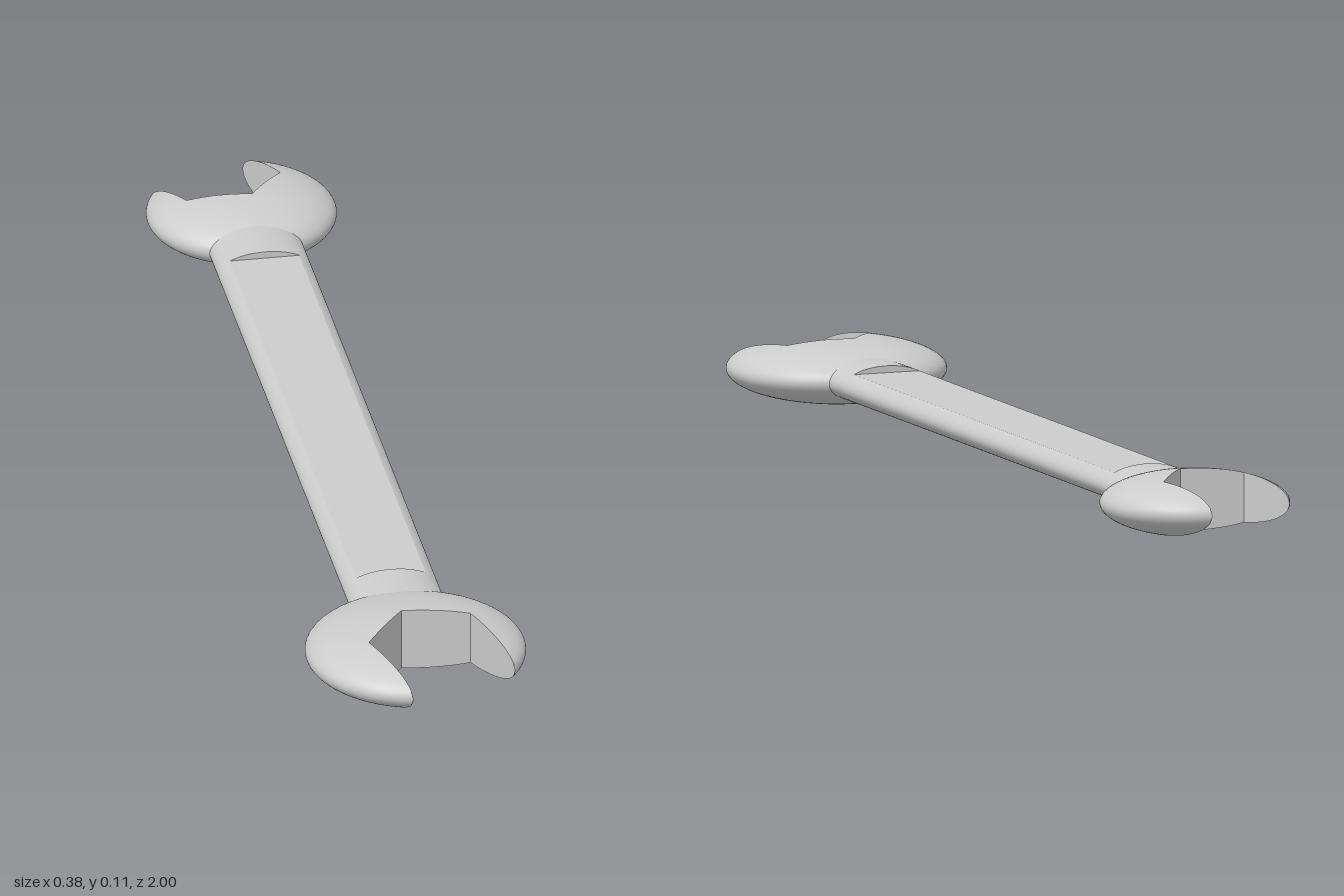
import * as THREE from 'three';
import { toCreasedNormals } from 'three/addons/utils/BufferGeometryUtils.js';

const MID_Y = 0.0565;
const material = new THREE.MeshStandardMaterial({ color: 0xcccccc });

// Smooth shading with sharp edges; enlarged meanwhile so close vertices stay distinct
function crease(geometry) {
  geometry.scale(100, 100, 100);
  const result = toCreasedNormals(geometry, 0.36);
  result.scale(0.01, 0.01, 0.01);
  return result;
}

// Flattened ellipsoid (radius R, half thickness b) with a polygonal jaw opening towards +z.
// slot: opening outline [x, z] from one jaw tip to the other, around the centre.
function headGeometry(R, b, slot) {
  const steps = 24, ring = 49;
  const positions = [], index = [];
  const addSection = (x, z) => {
    const r = Math.hypot(x, z);
    const phi0 = Math.acos(Math.min(1, r / R));
    for (let j = 0; j < ring; j++) {
      const phi = phi0 * (1 - (2 * j) / (ring - 1));
      const k = (R * Math.cos(phi)) / r;
      positions.push(x * k, b * Math.sin(phi), z * k);
    }
  };
  for (let s = 0; s < slot.length - 1; s++) {
    const [x0, z0] = slot[s], [x1, z1] = slot[s + 1];
    for (let i = s ? 1 : 0; i <= steps; i++) {
      const t = i / steps;
      addSection(x0 + (x1 - x0) * t, z0 + (z1 - z0) * t);
    }
  }
  // Sections are closed loops: the last segment is the vertical jaw wall
  const sections = positions.length / 3 / ring;
  for (let i = 0; i < sections - 1; i++) {
    for (let j = 0; j < ring; j++) {
      const a = i * ring + j, c = i * ring + ((j + 1) % ring);
      index.push(a, a + ring, c, c, a + ring, c + ring);
    }
  }
  const geometry = new THREE.BufferGeometry();
  geometry.setAttribute('position', new THREE.Float32BufferAttribute(positions, 3));
  geometry.setIndex(index);
  return crease(geometry);
}

// Length of oval bar from z0 to z1, sliced flat above and below at half height flat
function barGeometry(z0, z1, flat) {
  const a = 0.081, b = 0.036;
  const t = Math.asin(Math.min(1, flat / b));
  const shape = new THREE.Shape();
  shape.absellipse(0, 0, a, b, -t, t, false, 0);
  shape.absellipse(0, 0, a, b, Math.PI - t, Math.PI + t, false, 0);
  shape.closePath();
  const geometry = new THREE.ExtrudeGeometry(shape, { depth: z1 - z0, bevelEnabled: false, curveSegments: 32 });
  geometry.translate(0, 0, z0);
  return crease(geometry);
}

export function createModel() {
  const group = new THREE.Group();
  const add = (name, geometry, z = 0, turn = 0) => {
    const mesh = new THREE.Mesh(geometry, material);
    mesh.name = name;
    mesh.position.set(0, MID_Y, z);
    mesh.rotation.y = turn;
    group.add(mesh);
  };

  // Handle: full oval necks with a thinner flat-sided grip between them
  add('frontNeck', barGeometry(0.58, 0.72, 0.036));
  add('grip', barGeometry(-0.62, 0.58, 0.024));
  add('rearNeck', barGeometry(-0.76, -0.62, 0.036));

  // Open jaws at both ends
  add('largeJaw', headGeometry(0.189, MID_Y,
    [[-0.037, 0.1853], [-0.09, 0.052], [-0.017, -0.04], [0.1, -0.024], [0.153, 0.111]]), 0.812);
  add('smallJaw', headGeometry(0.163, 0.055,
    [[-0.031, 0.16], [-0.076, 0.047], [-0.012, -0.036], [0.099, -0.021], [0.1435, 0.0773]]), -0.84, Math.PI);

  return group;
}
